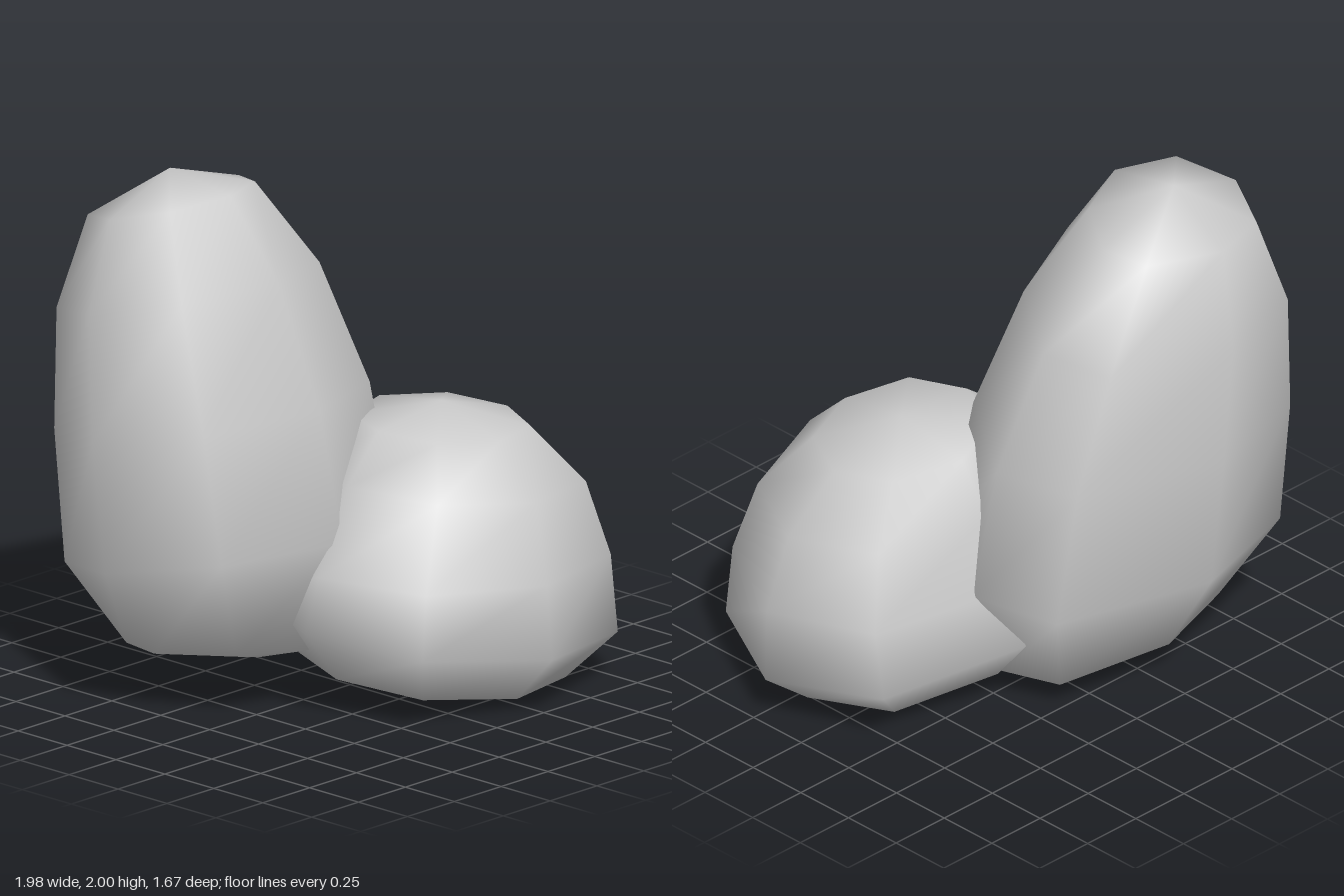
import * as THREE from 'three';

const material = new THREE.MeshStandardMaterial({ color: 0xcccccc });

// Smooth boulder: an uneven octagon carried through tilted rings, closed by a pole at each end.
// Ring: [xMin, xMax, zMin, zMax, yLeftSide, yRightSide, yBack, yFront]
function boulder(name, outline, rings, top, bottom) {
  const n = outline.length;
  const positions = [...top];
  for (const [x0, x1, z0, z1, yx0, yx1, yz0, yz1] of rings) {
    const yMid = (yx0 + yx1 + yz0 + yz1) / 4;
    for (const [u, v] of outline) {
      positions.push(
        (x0 + x1) / 2 + (u * (x1 - x0)) / 2,
        yMid + (u * (yx1 - yx0)) / 2 + (v * (yz1 - yz0)) / 2,
        (z0 + z1) / 2 + (v * (z1 - z0)) / 2
      );
    }
  }
  positions.push(...bottom);

  const at = (ring, i) => 1 + ring * n + (i % n);
  const last = rings.length - 1;
  const end = 1 + rings.length * n;
  const index = [];
  for (let i = 0; i < n; i++) {
    index.push(0, at(0, i + 1), at(0, i));
    for (let r = 0; r < last; r++) {
      const a = at(r, i), b = at(r, i + 1), c = at(r + 1, i + 1), d = at(r + 1, i);
      index.push(a, b, c, a, c, d);
    }
    index.push(end, at(last, i), at(last, i + 1));
  }

  const geometry = new THREE.BufferGeometry();
  geometry.setAttribute('position', new THREE.Float32BufferAttribute(positions, 3));
  geometry.setIndex(index);
  geometry.computeVertexNormals();
  const mesh = new THREE.Mesh(geometry, material);
  mesh.name = name;
  return mesh;
}

export function createModel() {
  const group = new THREE.Group();
  group.name = 'rocks';

  // Tall rock standing behind
  group.add(boulder(
    'tallRock',
    [[-1, -0.04], [-0.72, -0.81], [-0.08, -1], [0.8, -0.66], [1, -0.08], [0.68, 0.62], [0, 1], [-0.72, 0.75]],
    [
      [-0.78, -0.08, -0.74, -0.2, 1.88, 1.89, 1.82, 1.95],
      [-0.94, 0.19, -0.83, -0.01, 1.56, 1.54, 1.45, 1.64],
      [-0.99, 0.37, -0.84, 0.14, 1.08, 1.07, 1.0, 1.17],
      [-0.99, 0.43, -0.8, 0.23, 0.6, 0.54, 0.46, 0.66],
      [-0.76, 0.25, -0.62, 0.1, 0.24, 0.12, 0.13, 0.22],
    ],
    [-0.45, 2, -0.49],
    [-0.2, 0.09, -0.28]
  ));

  // Low rock leaning against its front
  group.add(boulder(
    'lowRock',
    [[0.02, -1], [0.78, -0.7], [1, 0.02], [0.67, 0.72], [-0.08, 1], [-0.78, 0.72], [-1, 0.02], [-0.76, -0.65]],
    [
      [-0.02, 0.67, -0.17, 0.48, 1.02, 0.96, 1.01, 0.98],
      [-0.22, 0.87, -0.3, 0.68, 0.87, 0.75, 0.82, 0.78],
      [-0.39, 0.97, -0.38, 0.78, 0.55, 0.46, 0.52, 0.5],
      [-0.45, 0.985, -0.45, 0.83, 0.35, 0.18, 0.3, 0.22],
      [-0.28, 0.77, -0.28, 0.66, 0.13, 0.01, 0.1, 0.04],
    ],
    [0.33, 1.06, 0.15],
    [0.22, 0, 0.2]
  ));

  return group;
}
